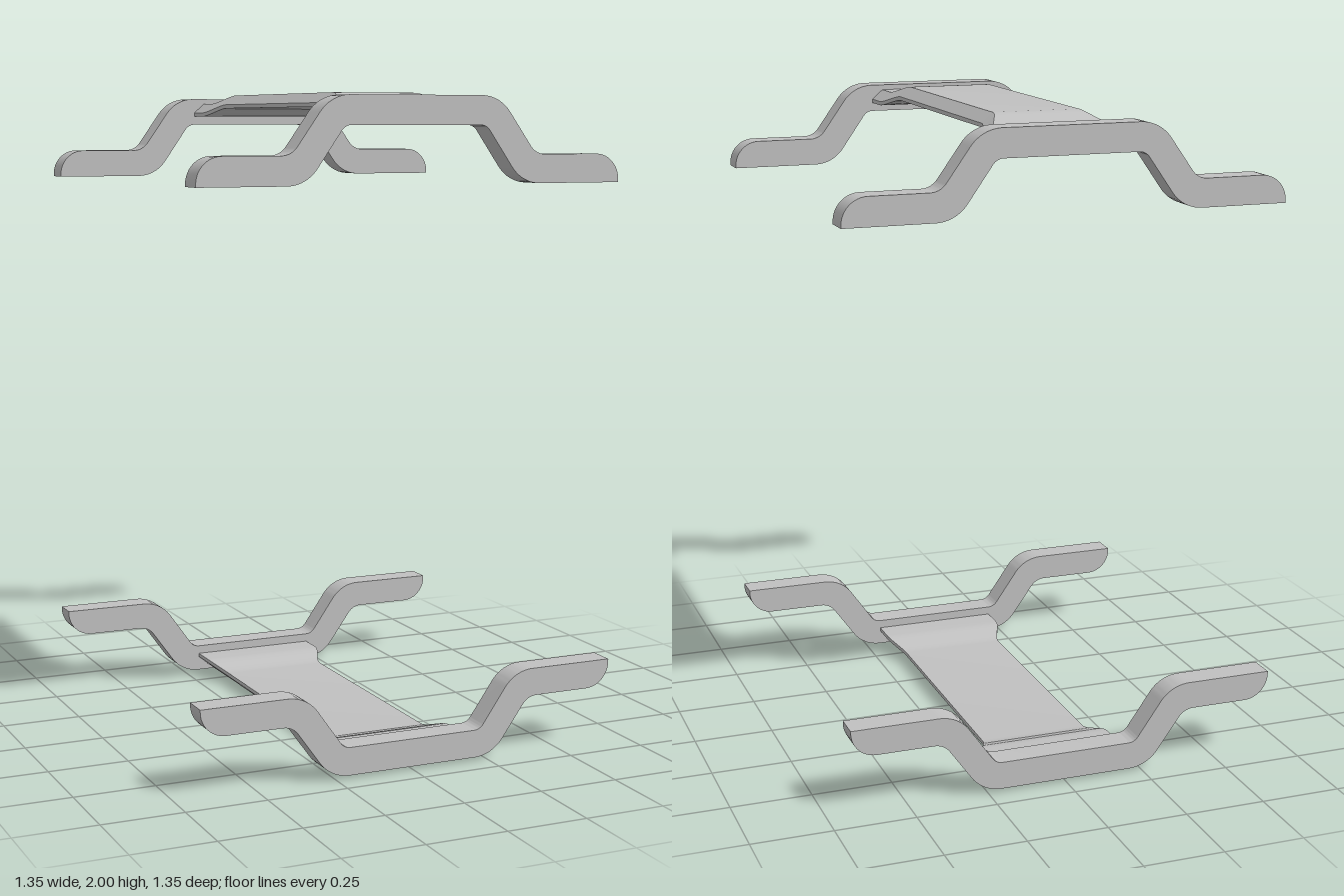
import * as THREE from 'three';
import { toCreasedNormals } from 'three/addons/utils/BufferGeometryUtils.js';

const grey = new THREE.MeshStandardMaterial({ color: 0xc0c0c0 });
grey.name = 'grey';

// Closed outline from corners [x, y, t]; t is the length trimmed off each side for a round fillet
function filletedShape(corners) {
  const shape = new THREE.Shape();
  const n = corners.length;
  corners.forEach(([x, y, t], i) => {
    const c = new THREE.Vector2(x, y);
    const [px, py] = corners[(i + n - 1) % n];
    const [nx, ny] = corners[(i + 1) % n];
    const back = new THREE.Vector2(px, py).sub(c).normalize();
    const ahead = new THREE.Vector2(nx, ny).sub(c).normalize();
    const start = c.clone().addScaledVector(back, t);
    if (i === 0) shape.moveTo(start.x, start.y);
    else shape.lineTo(start.x, start.y);
    if (!t) return;
    const turn = Math.PI - Math.acos(THREE.MathUtils.clamp(back.dot(ahead), -1, 1));
    const h = (4 / 3) * Math.tan(turn / 4) * t / Math.tan(turn / 2);
    const end = c.clone().addScaledVector(ahead, t);
    const a = start.clone().addScaledVector(back, -h);
    const b = end.clone().addScaledVector(ahead, -h);
    shape.bezierCurveTo(a.x, a.y, b.x, b.y, end.x, end.y);
  });
  shape.closePath();
  return shape;
}

// Hat-shaped bracket with raised middle and flat feet
function bracketGeometry() {
  const lower = [[0.675, 1.735, 0], [0.345, 1.735, 0.06], [0.225, 1.905, 0.02]];
  const upper = [[0.675, 1.82, 0.078], [0.39, 1.82, 0.03], [0.268, 1.99, 0.06]];
  const mirror = (list) => list.map(([x, y, t]) => [-x, y, t]);
  const outline = [
    ...mirror(lower), ...lower.slice().reverse(),
    ...upper, ...mirror(upper).reverse(),
  ];
  const geo = new THREE.ExtrudeGeometry(filletedShape(outline), {
    depth: 0.083, bevelEnabled: false, curveSegments: 12,
  });
  return toCreasedNormals(geo, 0.5);
}

// Bevelled strap: six-sided section swept along z, wider and lower at both ends
function strapGeometry() {
  const zs = [-0.6];
  for (let i = 0; i <= 10; i++) zs.push(-0.51 + i * 0.012);
  const stations = [...zs, ...zs.map((z) => -z).reverse()];
  const positions = [];
  const index = [];
  for (const z of stations) {
    const s = THREE.MathUtils.smoothstep(Math.abs(z), 0.39, 0.51);
    const top = 2 - 0.026 * s;
    const w = 0.17 + 0.035 * s;
    positions.push(
      w, top - 0.042, z, w, top - 0.03, z, w - 0.035, top, z,
      -w + 0.035, top, z, -w, top - 0.03, z, -w, top - 0.042, z,
    );
  }
  for (let i = 0; i < stations.length - 1; i++) {
    for (let j = 0; j < 6; j++) {
      const a = i * 6 + j;
      const b = i * 6 + (j + 1) % 6;
      index.push(a, b, a + 6, b, b + 6, a + 6);
    }
  }
  // End caps
  const last = (stations.length - 1) * 6;
  for (let j = 1; j < 5; j++) {
    index.push(0, j + 1, j, last, last + j, last + j + 1);
  }
  const geo = new THREE.BufferGeometry();
  geo.setAttribute('position', new THREE.Float32BufferAttribute(positions, 3));
  geo.setIndex(index);
  return toCreasedNormals(geo, 0.5);
}

export function createModel() {
  const model = new THREE.Group();
  model.name = 'bracketPair';
  const bracket = bracketGeometry();
  const strap = strapGeometry();

  const addPart = (group, name, geo, z) => {
    const mesh = new THREE.Mesh(geo, grey);
    mesh.name = name;
    mesh.position.z = z;
    group.add(mesh);
  };

  // Two identical assemblies, the lower one turned upside down
  for (const name of ['upperAssembly', 'lowerAssembly']) {
    const half = new THREE.Group();
    half.name = name;
    addPart(half, 'frontBracket', bracket, 0.591);
    addPart(half, 'backBracket', bracket, -0.674);
    addPart(half, 'strap', strap, 0);
    if (name === 'lowerAssembly') {
      half.rotation.z = Math.PI;
      half.position.y = 2;
    }
    model.add(half);
  }
  return model;
}
